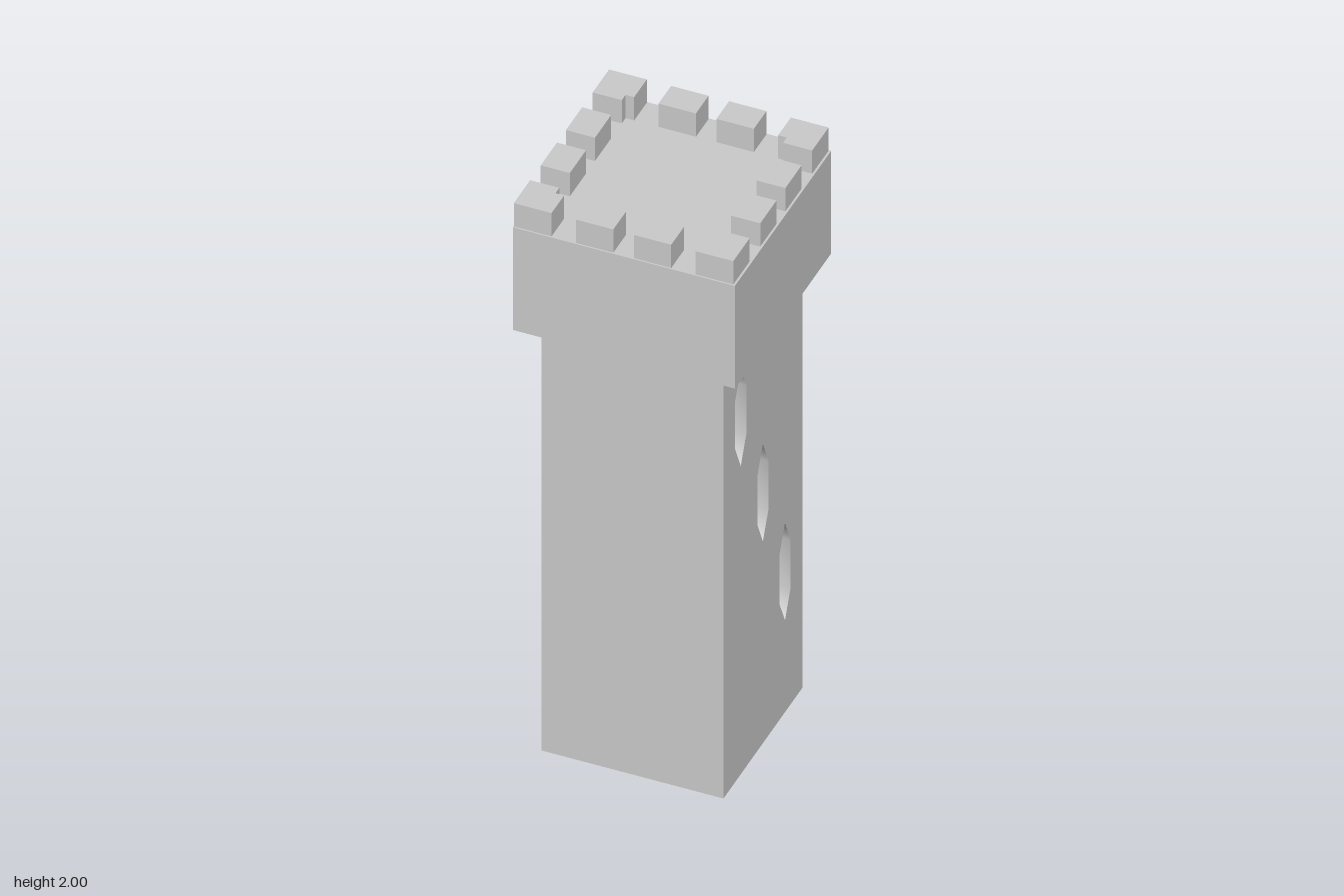
import * as THREE from 'three';

const SHAFT = 0.284, CROWN = 0.347;               // half widths
const LEDGE_Y = 1.545, DECK_Y = 1.916, TOP_Y = 2;
const RECESS = 0.06;

const thin = new THREE.MeshStandardMaterial({ color: 0xcccccc, side: THREE.DoubleSide });
const solid = new THREE.MeshStandardMaterial({ color: 0xcccccc });

const add = (parent, name, geometry, material = thin) => {
  const mesh = new THREE.Mesh(geometry, material);
  mesh.name = name;
  parent.add(mesh);
  return mesh;
};

const rectangle = (x0, y0, x1, y1) => new THREE.Shape([
  new THREE.Vector2(x0, y0), new THREE.Vector2(x1, y0),
  new THREE.Vector2(x1, y1), new THREE.Vector2(x0, y1),
]);

// Pointed six-sided window outline, counter-clockwise
const windowOutline = (u, y) => [
  [0, -0.176], [0.04, -0.088], [0.04, 0.088], [0, 0.176], [-0.04, 0.088], [-0.04, -0.088],
].map(([a, b]) => new THREE.Vector2(u + a, y + b));

// Inward-facing sides of a window recess, with smooth normals
function revealGeometry(outline) {
  const n = outline.length, positions = [], index = [];
  for (const z of [0, -RECESS]) for (const p of outline) positions.push(p.x, p.y, z);
  for (let i = 0; i < n; i++) {
    const j = (i + 1) % n;
    index.push(i, j, j + n, i, j + n, i + n);
  }
  const geometry = new THREE.BufferGeometry();
  geometry.setAttribute('position', new THREE.Float32BufferAttribute(positions, 3));
  geometry.setIndex(index);
  geometry.computeVertexNormals();
  return geometry;
}

// Four upright walls around a square; one side can have window openings
function addWalls(parent, name, half, y0, y1, outlines = []) {
  for (let side = 0; side < 4; side++) {
    const shape = rectangle(-half, y0, half, y1);
    if (side === 1) outlines.forEach((o) => shape.holes.push(new THREE.Path(o)));
    const wall = add(parent, name, new THREE.ShapeGeometry(shape));
    wall.rotation.y = side * Math.PI / 2;
    wall.position.set(half, 0, 0).applyAxisAngle(new THREE.Vector3(0, 1, 0), (side - 1) * Math.PI / 2);
  }
}

export function createModel() {
  const tower = new THREE.Group();
  tower.name = 'tower';

  // Hollow shaft, open at the bottom, with three stepped windows
  const shaft = new THREE.Group();
  shaft.name = 'shaft';
  const outlines = [[-0.159, 1.29], [0, 0.905], [0.159, 0.508]].map(([u, y]) => windowOutline(u, y));
  addWalls(shaft, 'shaftWall', SHAFT, 0, LEDGE_Y, outlines);

  // Window recesses on the left side
  const windows = new THREE.Group();
  windows.name = 'windows';
  windows.rotation.y = Math.PI / 2;
  windows.position.x = SHAFT;
  for (const outline of outlines) {
    add(windows, 'windowReveal', revealGeometry(outline));
    add(windows, 'windowBack', new THREE.ShapeGeometry(new THREE.Shape(outline))).position.z = -RECESS;
  }
  shaft.add(windows);
  tower.add(shaft);

  // Wider crown: walls, deck and the overhanging ledge beneath
  const crown = new THREE.Group();
  crown.name = 'crown';
  addWalls(crown, 'crownWall', CROWN, LEDGE_Y, DECK_Y);
  const deck = add(crown, 'deck', new THREE.PlaneGeometry(2 * CROWN, 2 * CROWN));
  deck.rotation.x = -Math.PI / 2;
  deck.position.y = DECK_Y;
  const ring = rectangle(-CROWN, -CROWN, CROWN, CROWN);
  ring.holes.push(rectangle(-SHAFT, -SHAFT, SHAFT, SHAFT));
  const ledge = add(crown, 'ledge', new THREE.ShapeGeometry(ring));
  ledge.rotation.x = Math.PI / 2;
  ledge.position.y = LEDGE_Y;
  tower.add(crown);

  // Battlements: per side, one notched corner merlon and two plain ones
  const battlements = new THREE.Group();
  battlements.name = 'battlements';
  const out = 0.343, inner = 0.252, leg = 0.225, height = TOP_Y - DECK_Y;
  const corner = new THREE.Shape([
    [leg, inner], [inner, inner], [inner, leg], [out, leg], [out, out], [leg, out],
  ].map(([x, y]) => new THREE.Vector2(x, y)));
  const merlons = [
    ['cornerMerlon', corner],
    ['merlon', rectangle(0.032, inner, 0.149, out)],
    ['merlon', rectangle(-0.149, inner, -0.032, out)],
  ];
  for (let side = 0; side < 4; side++) {
    for (const [name, shape] of merlons) {
      const geometry = new THREE.ExtrudeGeometry(shape, { depth: height, bevelEnabled: false });
      geometry.rotateX(-Math.PI / 2);
      add(battlements, name, geometry, solid).rotation.y = side * Math.PI / 2;
    }
  }
  battlements.position.set(-0.003, DECK_Y, -0.001);
  tower.add(battlements);

  return tower;
}
